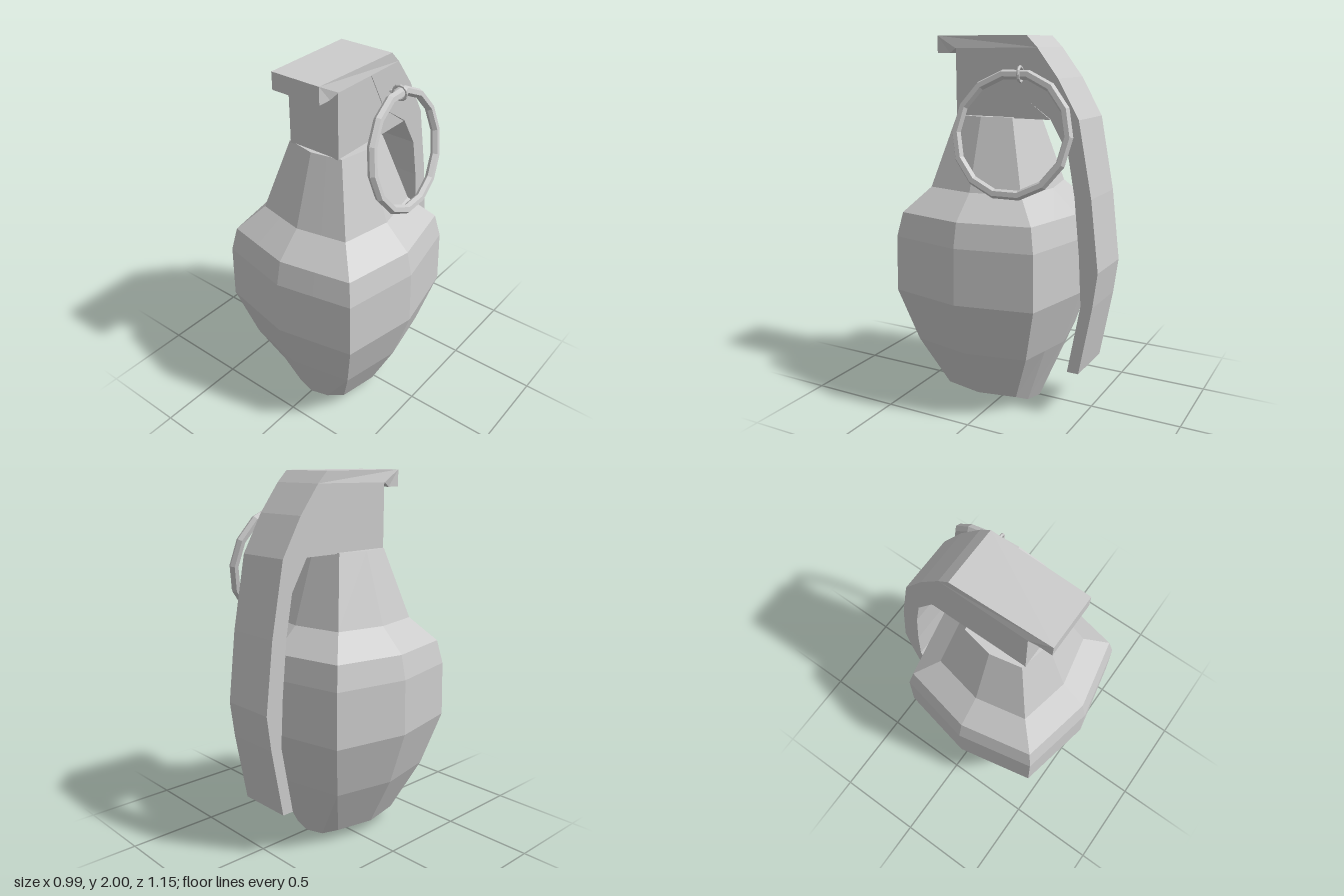
import * as THREE from 'three';

const material = new THREE.MeshStandardMaterial({ color: 0xcccccc, flatShading: true });

function addMesh(group, geometry, name) {
  const mesh = new THREE.Mesh(geometry, material);
  mesh.name = name;
  group.add(mesh);
  return mesh;
}

// Flat profile given as [z, y] points, extruded symmetrically across x.
function sideProfile(points, width) {
  const shape = new THREE.Shape(points.map(([z, y]) => new THREE.Vector2(-z, y)));
  const geometry = new THREE.ExtrudeGeometry(shape, { depth: width, bevelEnabled: false });
  return geometry.translate(0, 0, -width / 2).rotateY(Math.PI / 2);
}

// Rounded-square body: one cross-section scaled up and down the height.
function bodyGeometry() {
  const section = [[0, 1], [0.42, 0.915], [0.83, 0.83], [1, 0], [0.83, -0.83], [0.42, -0.915],
    [0, -1], [-0.42, -0.915], [-0.83, -0.83], [-1, 0], [-0.83, 0.83], [-0.42, 0.915]];
  const rings = [[1.59, 0.2], [1.21, 0.325], [1.08, 0.46], [0.95, 0.49], [0.65, 0.496], [0.35, 0.4], [0, 0.258]];
  const n = section.length;
  const last = rings.length - 1;
  const positions = [];
  const index = [];
  rings.forEach(([y, r], i) => {
    for (const [x, z] of section) {
      // the bottom edge curves up towards both sides
      const lift = i < last ? 0 : Math.abs(x) > 0.5 ? 0.065 : Math.abs(x) * 0.025;
      positions.push(x * r, y + lift, z * r + 0.075);
    }
  });
  for (let i = 0; i < last; i++) {
    for (let k = 0; k < n; k++) {
      const a = i * n + k, b = i * n + (k + 1) % n;
      index.push(a, a + n, b, b, a + n, b + n);
    }
  }
  // top cap
  for (let k = 1; k < n - 1; k++) index.push(0, k, k + 1);
  // curved underside, in strips running front to back
  const strips = [[6, 5, 1, 0], [5, 4, 2, 1], [4, 3, 2], [0, 11, 7, 6], [11, 10, 8, 7], [10, 9, 8]];
  for (const strip of strips) {
    for (let k = 1; k < strip.length - 1; k++) {
      index.push(...[strip[0], strip[k], strip[k + 1]].map((v) => v + last * n));
    }
  }
  const geometry = new THREE.BufferGeometry();
  geometry.setAttribute('position', new THREE.Float32BufferAttribute(positions, 3));
  geometry.setIndex(index);
  const flat = geometry.toNonIndexed();
  flat.computeVertexNormals();
  return flat;
}

export function createModel() {
  const group = new THREE.Group();
  group.name = 'grenade';

  addMesh(group, bodyGeometry(), 'body');

  // Neck block under the lever
  addMesh(group, sideProfile([
    [0.25, 1.585], [0.25, 1.94], [0, 1.94], [-0.115, 1.72], [-0.3, 1.585],
  ], 0.304), 'neck');

  // Safety lever: front lip, flat top, then a bent tail down the back
  const lever = sideProfile([
    [0.37, 1.91], [0.37, 2], [-0.165, 2], [-0.225, 1.94], [-0.34, 1.79], [-0.455, 1.59],
    [-0.53, 1.2], [-0.575, 0.82], [-0.55, 0.63], [-0.48, 0.25], [-0.415, 0.25], [-0.485, 0.63],
    [-0.47, 0.9], [-0.44, 1.2], [-0.4, 1.42], [-0.3, 1.59], [-0.115, 1.72], [0, 1.935],
    [0.25, 1.935], [0.295, 1.91],
  ], 0.312);
  const p = lever.attributes.position;
  for (let i = 0; i < p.count; i++) {
    if (p.getZ(i) > 0.28) p.setX(i, p.getX(i) * 0.91); // narrower lip
  }
  lever.computeVertexNormals();
  addMesh(group, lever, 'lever');

  // Pull ring, hanging outward from the neck
  const ring = addMesh(group, new THREE.TorusGeometry(0.306, 0.025, 6, 14), 'pullRing');
  const along = new THREE.Vector3(0.06, 0, 1).normalize();
  const up = new THREE.Vector3(-0.2, 0.98, 0.012).normalize();
  const axis = new THREE.Vector3().crossVectors(along, up).normalize();
  up.crossVectors(axis, along);
  ring.setRotationFromMatrix(new THREE.Matrix4().makeBasis(along, up, axis));
  ring.position.set(0.277, 1.515, -0.14);

  // Small link joining the ring to the neck
  const link = addMesh(group, new THREE.TorusGeometry(0.037, 0.008, 6, 12), 'ringLink');
  link.position.set(0.214, 1.81, -0.16);
  link.rotation.y = 0.15;

  // Pin stub reaching into the neck
  const pin = addMesh(group, new THREE.CylinderGeometry(0.008, 0.008, 0.05, 6), 'pin');
  pin.rotation.z = Math.PI / 2;
  pin.position.set(0.16, 1.805, -0.16);

  return group;
}
